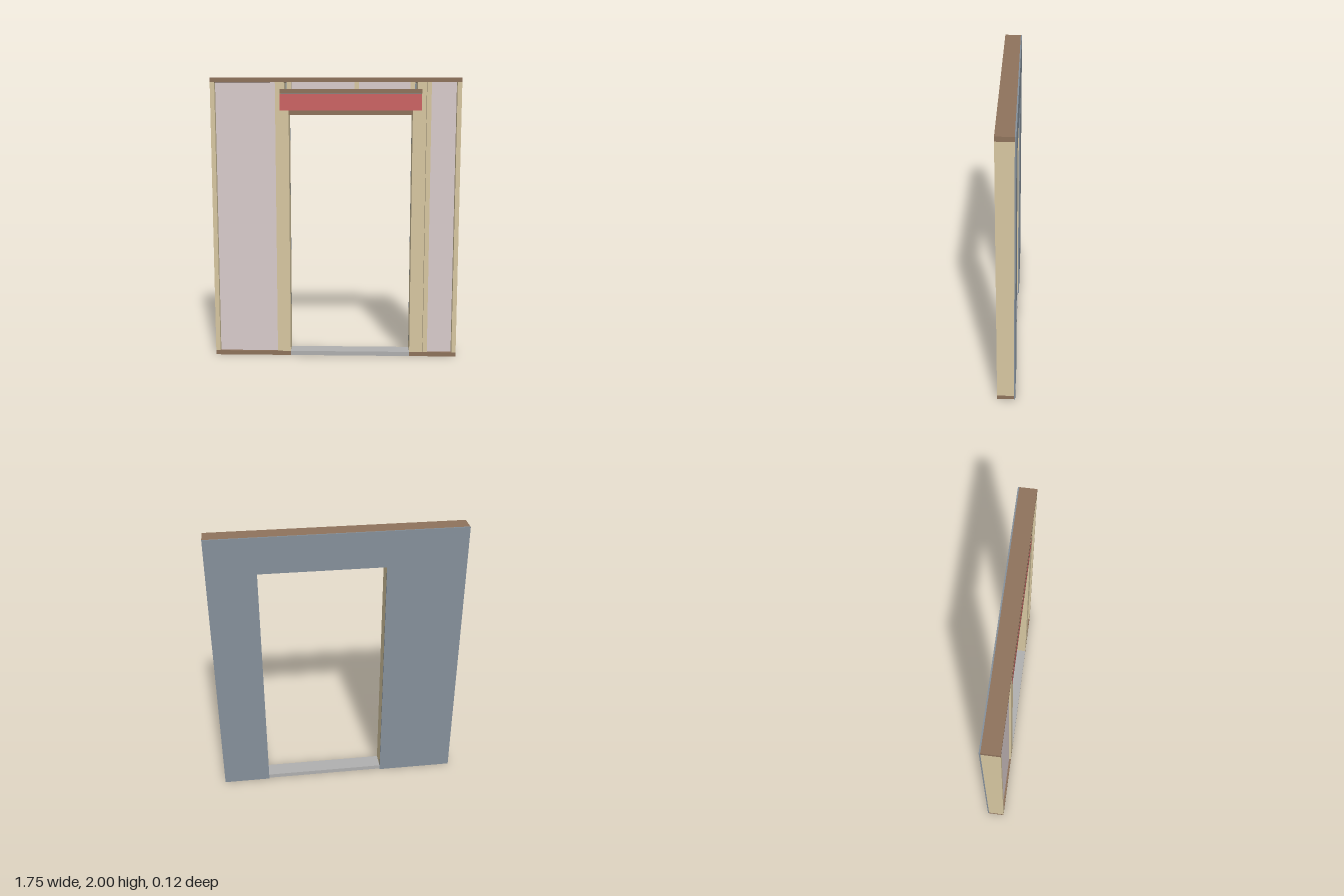
import * as THREE from 'three';

// Framed wall section with a door opening, header and back sheathing
const T = 0.0313;                 // lumber thickness
const W = 0.875;                  // half width of the wall
const H = 2;
const FRONT = 0.0625, BACK = -0.0535, SHEATH = -0.0625;
const DOOR_L = -0.327, DOOR_R = 0.538;   // sides of the opening
const HEAD = 1.743;                      // top of the opening

const mat = (color) => new THREE.MeshStandardMaterial({ color, flatShading: true });

export function createModel() {
  const group = new THREE.Group();
  const stud = mat(0xd8c8a2), plate = mat(0x8f735c), red = mat(0xcc6464);
  const wool = mat(0xdacccd), board = mat(0x85909b), grey = mat(0xb0b0b0);

  // Box given by its extents
  const box = (name, material, x0, x1, y0, y1, z0 = BACK, z1 = FRONT) => {
    const mesh = new THREE.Mesh(new THREE.BoxGeometry(x1 - x0, y1 - y0, z1 - z0), material);
    mesh.position.set((x0 + x1) / 2, (y0 + y1) / 2, (z0 + z1) / 2);
    mesh.name = name;
    group.add(mesh);
  };

  // Top and bottom plates, with the grey threshold across the opening
  box('topPlate', plate, -W, W, H - T, H);
  box('bottomPlateRight', plate, -W, DOOR_L, 0, T);
  box('bottomPlateLeft', plate, DOOR_R, W, 0, T);
  box('threshold', grey, DOOR_L, DOOR_R, 0, T);

  // Full-height studs: ends, kings and one common stud
  const kingR = DOOR_L - 3 * T, kingL = DOOR_R + 2 * T, common = kingL + T + 0.003;
  for (const x of [-W, kingR, kingL, common, W - T]) box('stud', stud, x, x + T, T, H - T);

  // Doubled jack studs carrying the header
  const headerBottom = HEAD + T, headerTop = headerBottom + 0.115;
  for (const x of [DOOR_L - 2 * T, DOOR_L - T, DOOR_R, DOOR_R + T]) {
    box('jackStud', stud, x, x + T, T, headerBottom);
  }

  // Header with its plates
  const hx0 = DOOR_L - 2 * T, hx1 = kingL;
  const capTop = headerTop + 0.003 + T;
  box('header', red, hx0, hx1, headerBottom, headerTop);
  box('headerTopPlate', plate, hx0, hx1, headerTop + 0.003, capTop);
  box('headerBottomPlate', plate, DOOR_L, DOOR_R, HEAD, headerBottom);

  // Cripple studs above the header
  const cripples = [hx0, -0.338, 0.131, 0.52, hx1 - T];
  for (const x of cripples) box('crippleStud', stud, x, x + T, capTop, H - T);

  // Insulation, set slightly back from the stud faces
  const face = FRONT - 0.014;
  box('insulationRight', wool, -W + T + 0.004, kingR, T, H - T, BACK, face);
  box('insulationLeft', wool, common + T, W - T - 0.004, T, H - T, BACK, face);
  for (const i of [1, 2]) {
    box('insulationAbove', wool, cripples[i] + T, cripples[i + 1], capTop, H - T, BACK, face);
  }

  // Sheathing boards on the back
  box('sheathingRight', board, -W, DOOR_L, 0, H, SHEATH, BACK);
  box('sheathingLeft', board, DOOR_R, W, 0, H, SHEATH, BACK);
  box('sheathingAbove', board, DOOR_L, DOOR_R, HEAD, H, SHEATH, BACK);
  return group;
}
